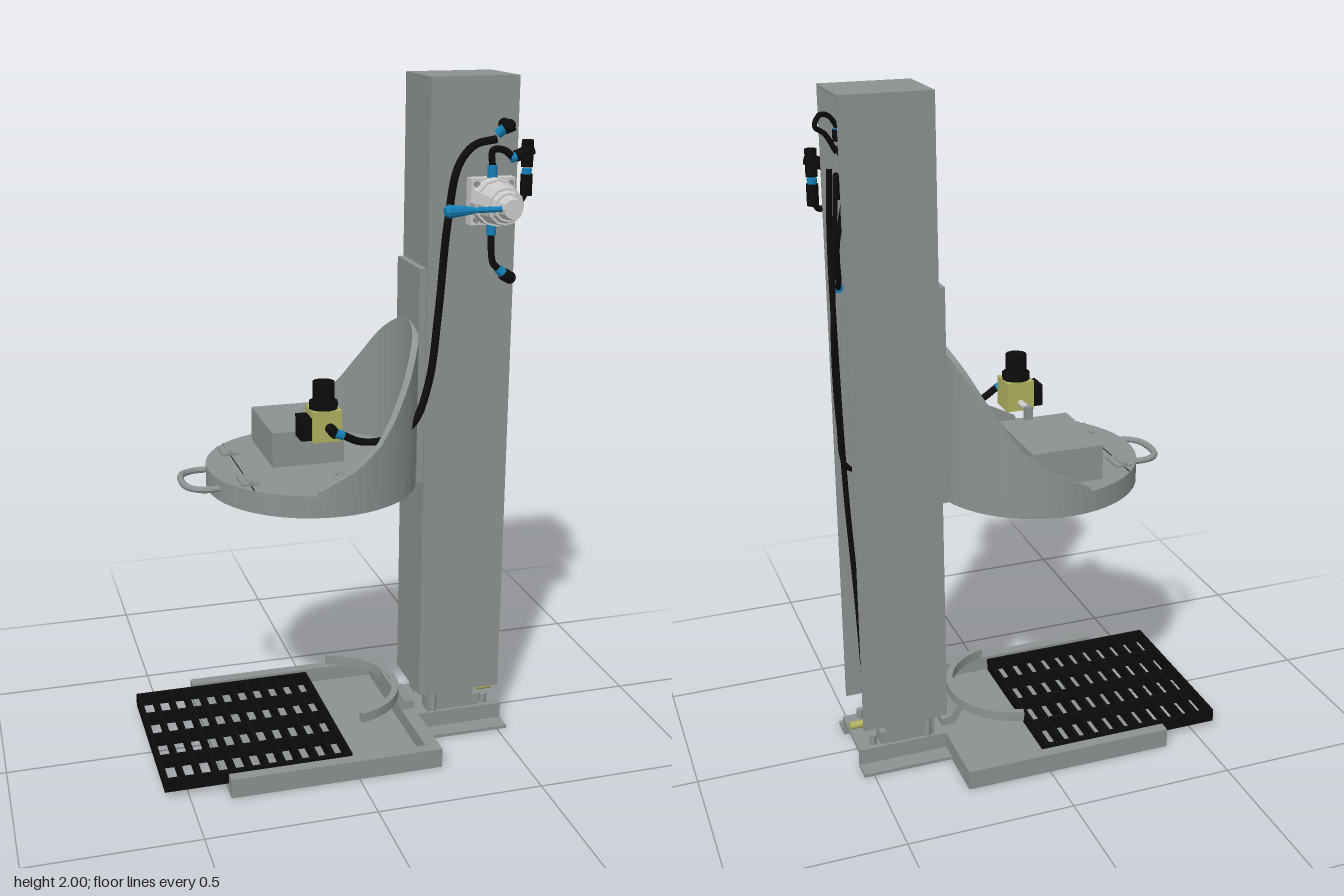
import * as THREE from 'three';

export function createModel() {
  const model = new THREE.Group();
  const mat = (color, extra = {}) => new THREE.MeshStandardMaterial({ color, flatShading: true, ...extra });
  const body = mat(0x8c9291), light = mat(0xcccccc), black = mat(0x0c0c0c);
  const blue = mat(0x1580b8), brass = mat(0xb0b060);
  const rubber = new THREE.MeshStandardMaterial({ color: 0x0c0c0c });
  const V = (p) => new THREE.Vector3(...p);

  const add = (name, geo, m) => {
    const mesh = new THREE.Mesh(geo, m);
    mesh.name = name;
    model.add(mesh);
    return mesh;
  };
  const box = (name, m, x0, x1, y0, y1, z0, z1) =>
    add(name, new THREE.BoxGeometry(x1 - x0, y1 - y0, z1 - z0), m)
      .position.set((x0 + x1) / 2, (y0 + y1) / 2, (z0 + z1) / 2);
  // Cylinder between two points
  const rod = (name, m, a, b, r0, r1 = r0, sides = 16) => {
    const p = V(a), d = V(b).sub(p);
    const mesh = add(name, new THREE.CylinderGeometry(r1, r0, d.length(), sides), m);
    mesh.position.copy(p).addScaledVector(d, 0.5);
    mesh.quaternion.setFromUnitVectors(new THREE.Vector3(0, 1, 0), d.normalize());
  };
  const hose = (name, pts, r = 0.008, m = rubber) =>
    add(name, new THREE.TubeGeometry(new THREE.CatmullRomCurve3(pts.map(V)), pts.length * 8, r, 8), m);

  // Floor tray with three raised walls
  box('trayFloor', body, -0.385, 0.257, 0, 0.012, -0.32, 0.32);
  for (const s of [-1, 1]) {
    const z = s * 0.3025;
    box('traySideWall', body, -0.385, 0.257, 0, 0.06, z - 0.0175, z + 0.0175);
    const corner = new THREE.Shape([[0.215, 0], [0.215, 0.285], [0.14, 0.285]].map(([x, z]) => new THREE.Vector2(x, s * z)));
    corner.curves.length && (corner.autoClose = true);
  }
  box('trayEndWall', body, 0.215, 0.257, 0, 0.06, -0.285, 0.285);

  // Grating
  for (let i = 0; i < 12; i++) {
    const x = -0.564 + i * 0.05;
    box('gratingCrossBar', black, x - 0.006, x + 0.006, 0.02, 0.06, -0.27, 0.27);
  }
  for (let i = 0; i < 5; i++) {
    const z = -0.264 + i * 0.132;
    box('gratingLongBar', black, -0.57, -0.008, 0.02, 0.06, z - 0.006, z + 0.006);
  }

  // Curved container stop and its sloping bracket
  const arc = new THREE.Shape();
  arc.absarc(0, 0, 0.212, -1.37, 1.37, false);
  arc.absarc(0, 0, 0.192, 1.37, -1.37, true);
  const stop = add('curvedStop', new THREE.ExtrudeGeometry(arc, { depth: 0.03, bevelEnabled: false, curveSegments: 24 }), body);
  stop.rotation.x = Math.PI / 2;
  stop.position.y = 0.15;
  const slope = new THREE.Shape([[0.18, 0.148], [0.19, 0.148], [0.225, 0.09], [0.257, 0.085], [0.257, 0.06], [0.215, 0.06], [0.18, 0.12]].map((p) => new THREE.Vector2(...p)));
  add('stopBracket', new THREE.ExtrudeGeometry(slope, { depth: 0.12, bevelEnabled: false }), body).position.z = -0.06;

  // Hat-shaped foot channel below the column
  box('footTop', body, 0.25, 0.53, 0.05, 0.06, -0.1, 0.1);
  for (const s of [-1, 1]) {
    box('footWall', body, 0.25, 0.53, 0, 0.06, s * 0.095 - 0.005, s * 0.095 + 0.005);
    box('footFlange', body, 0.25, 0.53, 0, 0.01, s * 0.1275 - 0.0275, s * 0.1275 + 0.0275);
    box('columnMount', body, 0.29, 0.46, 0.06, 0.1, s * 0.065 - 0.025, s * 0.065 + 0.025);
    rod('mountBolt', body, [0.31, 0.06, s * 0.085], [0.31, 0.125, s * 0.085], 0.012, 0.012, 6);
    rod('mountBolt', body, [0.48, 0.06, s * 0.075], [0.48, 0.09, s * 0.075], 0.012, 0.012, 6);
  }
  box('columnBase', body, 0.33, 0.44, 0.06, 0.14, -0.06, 0.06);
  rod('lowerPort', brass, [0.46, 0.08, 0.01], [0.53, 0.08, 0.01], 0.012);
  rod('lowerElbow', black, [0.47, 0.07, 0.01], [0.47, 0.13, 0.01], 0.012);

  // Column: channel open on the +x side, closed at the top
  box('columnWeb', body, 0.255, 0.263, 0.13, 2, -0.108, 0.108);
  box('columnTop', body, 0.255, 0.515, 1.99, 2, -0.108, 0.108);
  for (const s of [-1, 1]) {
    box('columnSide', body, 0.255, 0.515, 0.13, 2, s * 0.104 - 0.004, s * 0.104 + 0.004);
    // Lifting guides inside
    box('guideRail', body, 0.29, 0.44, 0.06, 1.72, s * 0.08 - 0.01, s * 0.08 + 0.01);
    box('guideLip', body, 0.43, 0.44, 0.06, 1.72, s * 0.06 - 0.012, s * 0.06 + 0.012);
    rod('guideRod', light, [0.4, 0.1, s * 0.033], [0.4, 1.8, s * 0.033], 0.009);
    rod('topStud', black, [0.43, 1.75, s * 0.08], [0.43, 1.9, s * 0.08], 0.01);
    box('topClamp', body, 0.3, 0.46, 1.7, 1.76, s * 0.065 - 0.03, s * 0.065 + 0.03);
  }
  rod('liftCylinder', body, [0.36, 0.1, 0], [0.36, 1.65, 0], 0.03);
  rod('liftPiston', light, [0.36, 1.65, 0], [0.36, 1.82, 0], 0.014);
  box('topCrossbar', black, 0.3, 0.47, 1.81, 1.835, -0.098, 0.098);

  // Round head, hollow underneath
  const cx = -0.06, R = 0.31;
  const profile = [[0, 0.875], [0.29, 0.875], [0.29, 0.83], [R, 0.83], [R, 0.895], [0, 0.895]];
  add('headDisc', new THREE.LatheGeometry(profile.map((p) => new THREE.Vector2(...p)), 48), body).position.x = cx;
  box('lidSeam', black, -0.281, -0.279, 0.89, 0.8965, -0.215, 0.215);
  box('headPlate', body, 0.235, 0.255, 0.83, 1.47, -0.1, 0.1);

  // Splash shield: ring wall whose top follows a rising curve
  const rise = [[-0.13, 0.9], [-0.08, 0.925], [0, 0.965], [0.07, 1.02], [0.12, 1.085], [0.17, 1.165], [0.21, 1.24], [0.26, 1.32]];
  const topAt = (x) => {
    let i = 0;
    while (i < rise.length - 2 && x > rise[i + 1][0]) i++;
    const [a, b] = [rise[i], rise[i + 1]];
    return a[1] + (b[1] - a[1]) * Math.max(0, (x - a[0]) / (b[0] - a[0]));
  };
  const pos = [], idx = [], N = 40, sweep = 1.76;
  for (let i = 0; i <= N; i++) {
    const t = -sweep + (2 * sweep * i) / N, c = Math.cos(t), s = Math.sin(t);
    const h = topAt(cx + R * c);
    for (const [r, y] of [[R - 0.018, 0.88], [R + 0.001, 0.88], [R + 0.001, h], [R - 0.018, h]]) pos.push(cx + r * c, y, r * s);
    if (i === N) continue;
    for (let k = 0; k < 4; k++) {
      const a = i * 4 + k, b = i * 4 + ((k + 1) % 4);
      idx.push(a, b, b + 4, a, b + 4, a + 4);
    }
  }
  const e = N * 4;
  idx.push(0, 2, 1, 0, 3, 2, e, e + 1, e + 2, e, e + 2, e + 3);
  const shield = new THREE.BufferGeometry();
  shield.setAttribute('position', new THREE.Float32BufferAttribute(pos, 3));
  shield.setIndex(idx);
  shield.computeVertexNormals();
  add('splashShield', shield, body);

  // Hinges and pull handle
  for (const z of [-0.14, 0.135]) {
    box('hinge', body, -0.305, -0.255, 0.893, 0.902, z - 0.04, z + 0.04);
    rod('hingePin', body, [-0.28, 0.903, z - 0.04], [-0.28, 0.903, z + 0.04], 0.007, 0.007, 8);
  }
  hose('pullHandle', [[-0.35, 0.865, -0.085], [-0.4, 0.865, -0.083], [-0.435, 0.865, -0.06], [-0.447, 0.865, 0], [-0.435, 0.865, 0.06], [-0.4, 0.865, 0.088], [-0.35, 0.865, 0.09]], 0.01, body);

  // Equipment box, port and pressure regulator on the head
  box('equipmentBox', body, -0.185, 0.03, 0.89, 1, -0.235, 0.04);
  const port = add('portRing', new THREE.TorusGeometry(0.033, 0.004, 6, 24), body);
  port.rotation.x = Math.PI / 2;
  port.position.set(0, 0.896, 0.17);
  rod('portTube', body, [0, 0.84, 0.17], [0, 0.88, 0.17], 0.033);
  rod('regulatorPipe', light, [-0.058, 1.03, 0.03], [-0.058, 1.03, 0.1], 0.01);
  box('regulatorPipeFoot', body, -0.07, -0.046, 0.99, 1.04, 0.02, 0.038);
  box('regulatorBody', brass, -0.1, -0.015, 1.005, 1.095, 0.09, 0.175);
  rod('regulatorCollar', black, [-0.058, 1.09, 0.132], [-0.058, 1.115, 0.132], 0.042, 0.042, 12);
  rod('regulatorKnob', black, [-0.058, 1.115, 0.132], [-0.058, 1.172, 0.132], 0.032, 0.032, 12);
  box('regulatorGauge', black, -0.132, -0.1, 1.01, 1.075, 0.1, 0.165);
  rod('regulatorOutlet', black, [-0.05, 1.045, 0.17], [-0.05, 1.045, 0.225], 0.015);
  rod('outletCollar', blue, [-0.045, 1.045, 0.222], [-0.025, 1.036, 0.222], 0.013);

  // Hand valve on the column side
  const vx = 0.43, vy = 1.66;
  box('valveFlange', light, vx - 0.065, vx + 0.065, vy - 0.065, vy + 0.065, 0.108, 0.145);
  for (const sx of [-1, 1]) for (const sy of [-1, 1])
    rod('flangeScrew', body, [vx + sx * 0.05, vy + sy * 0.05, 0.14], [vx + sx * 0.05, vy + sy * 0.05, 0.153], 0.009, 0.009, 6);
  [[0.145, 0.18, 0.068, 0.066], [0.18, 0.245, 0.06, 0.052], [0.245, 0.26, 0.046, 0.04], [0.26, 0.295, 0.034, 0.027]]
    .forEach(([a, b, r0, r1]) => rod('valveBody', light, [vx, vy, a], [vx, vy, b], r0, r1, 12));
  rod('leverShaft', blue, [vx - 0.02, vy, 0.278], [0.31, vy, 0.278], 0.008);
  rod('leverGrip', blue, [0.32, vy, 0.278], [0.25, vy, 0.278], 0.01, 0.019, 10);
  rod('leverTip', blue, [0.25, vy, 0.278], [0.24, vy, 0.278], 0.019, 0.012, 10);

  // Fittings around the valve
  const fit = (a, b, tip) => {
    rod('hoseFitting', black, a, b, 0.017, 0.017, 12);
    if (tip) rod('fittingCollar', blue, b, tip, 0.014, 0.014, 12);
  };
  rod('fittingCollar', blue, [vx, 1.72, 0.135], [vx, 1.76, 0.135], 0.014);
  rod('fittingCollar', blue, [vx, 1.6, 0.14], [vx, 1.565, 0.14], 0.014);
  fit([0.48, 1.87, 0.155], [0.455, 1.86, 0.15], [0.44, 1.845, 0.14]);
  fit([0.47, 1.868, 0.155], [0.47, 1.868, 0.105]);
  fit([0.49, 1.44, 0.155], [0.465, 1.455, 0.155], [0.45, 1.47, 0.15]);
  fit([0.485, 1.442, 0.16], [0.485, 1.442, 0.11], [0.485, 1.442, 0.085]);
  fit([0.535, 1.67, 0.13], [0.535, 1.73, 0.13], [0.535, 1.745, 0.13]);
  fit([0.535, 1.75, 0.13], [0.535, 1.825, 0.13]);
  fit([0.55, 1.8, 0.13], [0.5, 1.78, 0.13], [0.485, 1.775, 0.13]);
  fit([0.48, 1.86, 0.03], [0.48, 1.89, 0.03], [0.48, 1.9, 0.03]);

  // Hoses
  hose('headHose', [[-0.03, 1.04, 0.222], [0.03, 1.01, 0.21], [0.12, 1.005, 0.19], [0.2, 1.04, 0.17], [0.25, 1.15, 0.15], [0.28, 1.35, 0.135], [0.305, 1.6, 0.125], [0.335, 1.76, 0.122], [0.38, 1.815, 0.125], [0.44, 1.83, 0.135]], 0.011);
  hose('valveTopHose', [[vx, 1.75, 0.135], [vx, 1.8, 0.135], [0.46, 1.8, 0.14], [0.49, 1.78, 0.13]], 0.01);
  hose('valveBottomHose', [[vx, 1.57, 0.14], [0.428, 1.52, 0.15], [0.435, 1.485, 0.15], [0.455, 1.465, 0.152]], 0.01);
  hose('sideHose', [[vx + 0.06, 1.66, 0.14], [0.52, 1.66, 0.135], [0.535, 1.69, 0.13]], 0.009);
  hose('crossHose', [[0.485, 1.442, 0.09], [0.49, 1.47, 0.06], [0.5, 1.58, 0.02], [0.48, 1.7, 0.005]]);
  hose('topLoopHose', [[0.48, 1.89, 0.03], [0.51, 1.93, 0], [0.545, 1.94, -0.035], [0.56, 1.915, -0.045], [0.53, 1.89, -0.03], [0.5, 1.84, -0.02]], 0.007);
  hose('longHose', [[0.5, 1.78, 0.07], [0.51, 1.6, 0.06], [0.51, 1.2, 0.045], [0.505, 0.85, 0.025], [0.49, 0.5, 0.01], [0.475, 0.12, 0.01]]);
  hose('hangingHose', [[0.48, 1.7, 0.06], [0.5, 1.78, 0], [0.515, 1.7, -0.04], [0.54, 1.35, -0.055], [0.535, 1.1, -0.05], [0.515, 0.96, -0.04], [0.44, 0.93, -0.04]], 0.007);
  return model;
}
